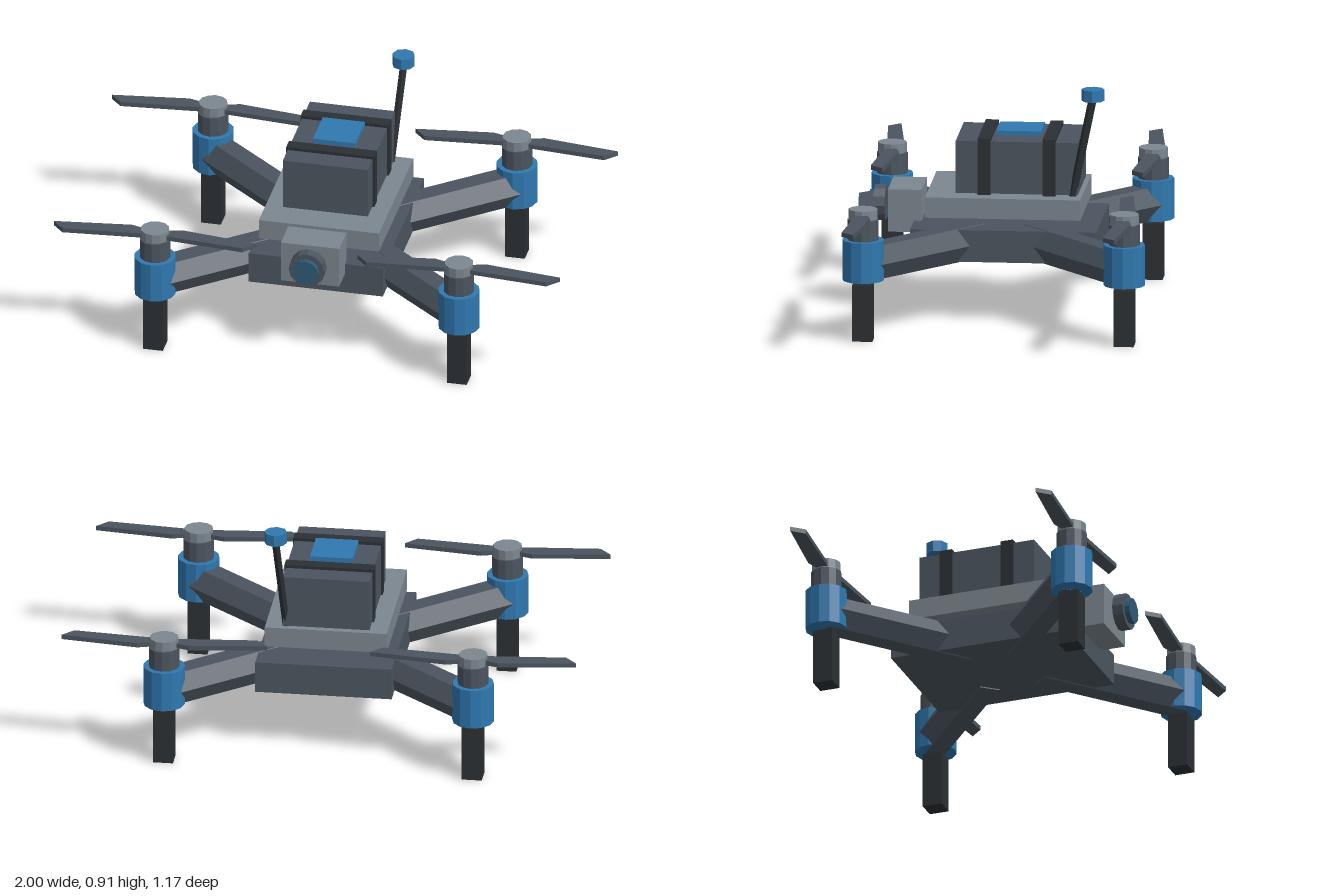
import * as THREE from 'three';

const mat = (color) => new THREE.MeshStandardMaterial({ color, flatShading: true });

export function createModel() {
  const model = new THREE.Group();
  model.name = 'quadcopter';

  const slate = mat(0x4b555f);
  const dark = mat(0x2b3035);
  const light = mat(0x7c878f);
  const blue = mat(0x2f78b0);
  const glass = mat(0x2f5a78);

  function add(name, geometry, material, x = 0, y = 0, z = 0, parent = model) {
    const mesh = new THREE.Mesh(geometry, material);
    mesh.name = name;
    mesh.position.set(x, y, z);
    parent.add(mesh);
    return mesh;
  }
  // Box given by its extents along each axis
  function box(name, material, [x0, x1], [y0, y1], [z0, z1], parent = model) {
    return add(name, new THREE.BoxGeometry(x1 - x0, y1 - y0, z1 - z0), material,
      (x0 + x1) / 2, (y0 + y1) / 2, (z0 + z1) / 2, parent);
  }
  // Upright cylinder between two heights
  function drum(name, material, r, y0, y1, parent, sides = 12) {
    return add(name, new THREE.CylinderGeometry(r, r, y1 - y0, sides), material, 0, (y0 + y1) / 2, 0, parent);
  }
  // Straight bar between two points; six-sided bars lie with a flat on top
  function bar(name, material, from, to, r, sides) {
    const a = new THREE.Vector3(...from), b = new THREE.Vector3(...to);
    const geo = new THREE.CylinderGeometry(r, r, a.distanceTo(b), sides);
    geo.rotateY(Math.PI / 6);
    geo.rotateX(Math.PI / 2);
    const mesh = add(name, geo, material);
    mesh.position.copy(a).add(b).multiplyScalar(0.5);
    mesh.lookAt(b);
    return mesh;
  }

  // Fuselage and upper deck
  box('body', slate, [-0.265, 0.265], [0.24, 0.365], [-0.365, 0.355]);
  box('topPlate', light, [-0.237, 0.237], [0.405, 0.485], [-0.3, 0.3]);

  // Battery with its straps and pad
  box('battery', slate, [-0.168, 0.168], [0.49, 0.695], [-0.284, 0.188]);
  for (const z of [0.078, -0.173]) {
    box('batteryStrap', dark, [-0.174, 0.174], [0.485, 0.707], [z - 0.025, z + 0.025]);
  }
  box('batteryPad', blue, [-0.083, 0.083], [0.702, 0.72], [-0.134, 0.038]);

  // Camera
  box('cameraHousing', light, [-0.115, 0.115], [0.32, 0.487], [0.325, 0.455]);
  const lens = (name, material, r, z0, z1) => {
    const geo = new THREE.CylinderGeometry(r, r, z1 - z0, 12).rotateX(Math.PI / 2);
    add(name, geo, material, 0, 0.41, (z0 + z1) / 2);
  };
  lens('lensRing', slate, 0.071, 0.472, 0.515);
  lens('lensGlass', glass, 0.05, 0.515, 0.535);

  // Antenna
  bar('antennaMast', dark, [0.158, 0.485, -0.263], [0.19, 0.88, -0.345], 0.016, 6);
  add('antennaCap', new THREE.CylinderGeometry(0.044, 0.044, 0.045, 8), blue, 0.188, 0.892, -0.345);

  // Propeller blade outline, swept toward +z at the tip
  function bladeGeometry() {
    const outline = [[0.03, -0.015], [0.1, -0.036], [0.4, 0.002], [0.355, 0.05], [0.03, 0.022]];
    const shape = new THREE.Shape(outline.map(([x, z]) => new THREE.Vector2(x, -z)));
    return new THREE.ExtrudeGeometry(shape, { depth: 0.018, bevelEnabled: false }).rotateX(-Math.PI / 2);
  }
  function mirrorX(geo) {
    const g = geo.clone().scale(-1, 1, 1), p = g.attributes.position;
    const a = new THREE.Vector3(), b = new THREE.Vector3();
    // Swap two corners of each triangle to keep the faces outward
    for (let i = 0; i < p.count; i += 3) {
      a.fromBufferAttribute(p, i);
      b.fromBufferAttribute(p, i + 1);
      p.setXYZ(i, b.x, b.y, b.z);
      p.setXYZ(i + 1, a.x, a.y, a.z);
    }
    g.computeVertexNormals();
    return g;
  }
  const blade = bladeGeometry();
  const blades = [blade, mirrorX(blade)];

  // Four arms, each with pod, motor, propeller and leg
  for (const sx of [-1, 1]) {
    for (const sz of [-1, 1]) {
      const x = sx * 0.6, z = sz * 0.505;
      bar('arm', slate, [x * 0.205, 0.302, z * 0.205], [x * 1.01, 0.302, z * 1.01], 0.076, 6);

      const rotor = new THREE.Group();
      rotor.name = 'rotorUnit';
      rotor.position.set(x, 0, z);
      model.add(rotor);
      drum('motorPod', blue, 0.081, 0.237, 0.396, rotor);
      drum('motor', slate, 0.06, 0.396, 0.476, rotor);
      drum('motorCap', light, 0.056, 0.478, 0.516, rotor);
      for (const geo of blades) add('propellerBlade', geo, slate, 0, 0.482, 0, rotor);
      box('leg', dark, [-0.039, 0.039], [0, 0.222], [-0.039, 0.039], rotor);
    }
  }
  return model;
}
